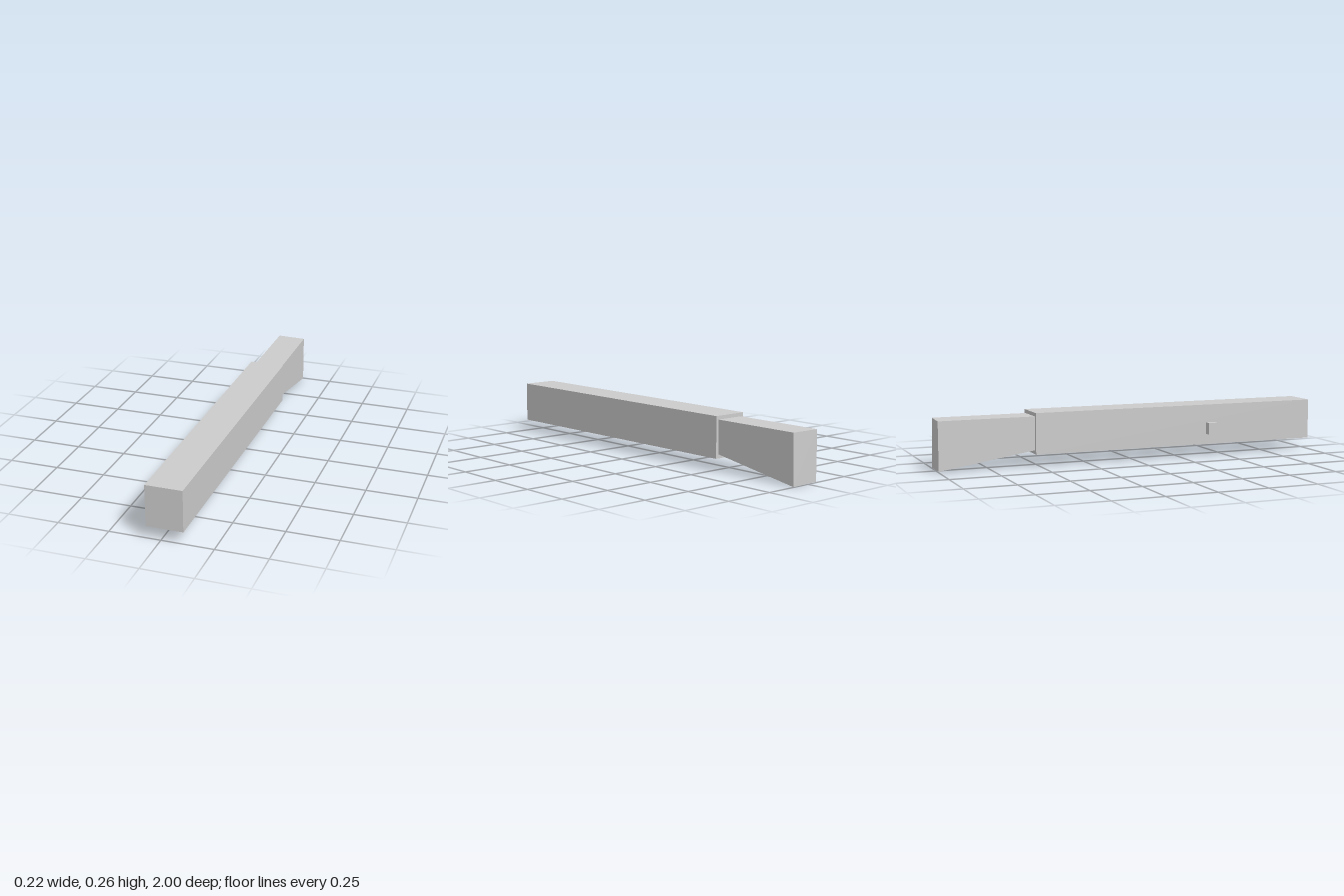
import * as THREE from 'three';

// Box given by its minimum and maximum corners
function boxBetween(name, min, max, material) {
  const size = max.map((v, i) => v - min[i]);
  const geometry = new THREE.BoxGeometry(...size);
  geometry.translate(...max.map((v, i) => (v + min[i]) / 2));
  const mesh = new THREE.Mesh(geometry, material);
  mesh.name = name;
  return mesh;
}

export function createModel() {
  const group = new THREE.Group();
  group.name = 'model';
  const grey = new THREE.MeshStandardMaterial({ color: 0xcccccc });
  grey.name = 'light grey';

  // Long square body
  const body = boxBetween('body', [-0.071, 0.059, -0.52], [0.107, 0.263, 1], grey);

  // Small block on the right side
  const sideKnob = boxBetween('sideKnob', [-0.108, 0.112, 0.397], [-0.071, 0.171, 0.443], grey);

  // Rear stock: underside drops toward the back, end face slightly skewed
  const stock = boxBetween('stock', [-0.055, 0.079, -1], [0.092, 0.245, -0.52], grey);
  const p = stock.geometry.attributes.position;
  for (let i = 0; i < p.count; i++) {
    if (p.getZ(i) > -0.9) continue;
    const right = p.getX(i) < 0;
    const low = p.getY(i) < 0.15;
    if (low) p.setY(i, right ? 0.004 : 0);
    if (!right) p.setZ(i, low ? -0.997 : -0.992);
  }
  stock.geometry = stock.geometry.toNonIndexed();
  stock.geometry.computeVertexNormals();

  group.add(body, sideKnob, stock);
  return group;
}
